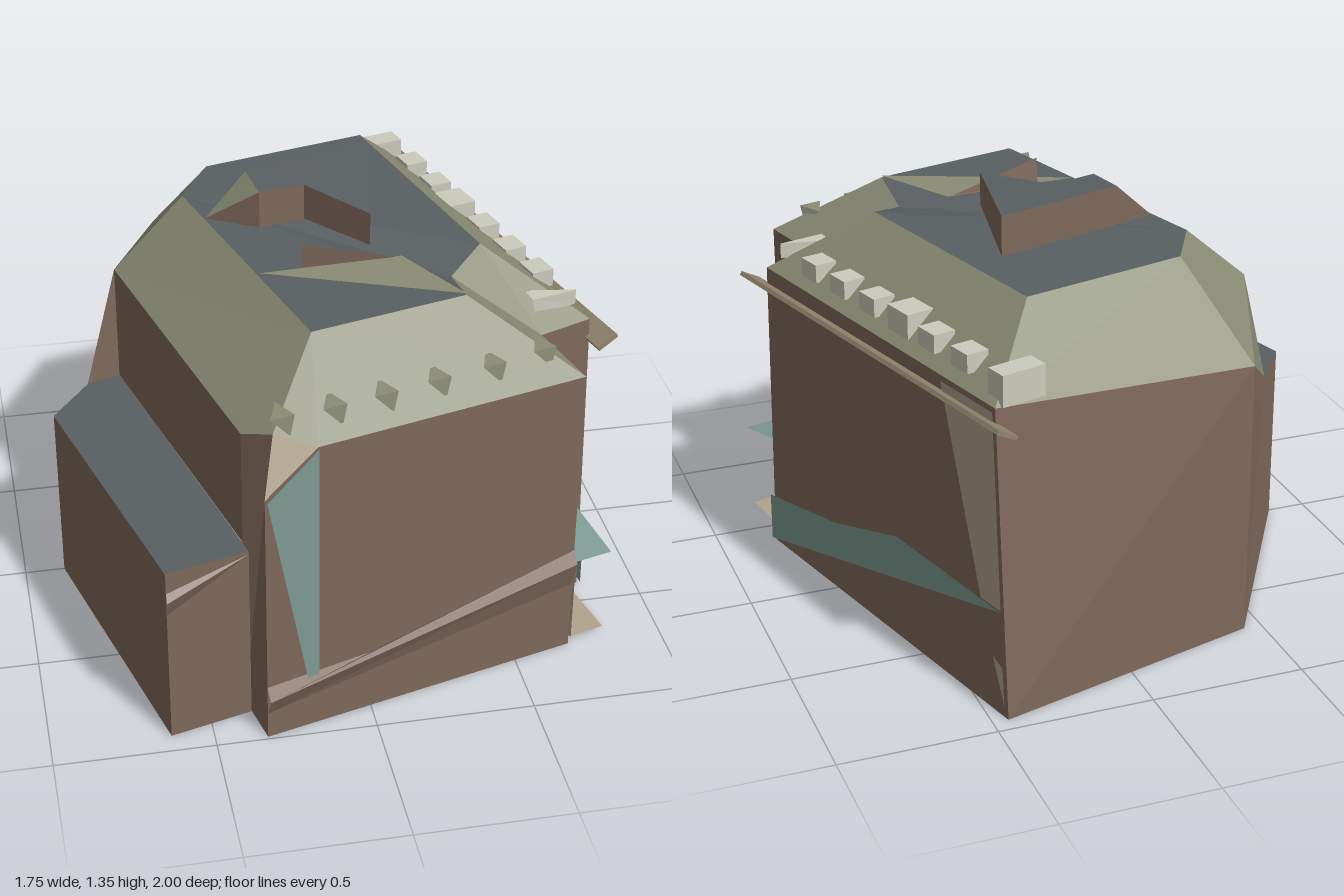
import * as THREE from 'three';

const mat = (name, color) => new THREE.MeshStandardMaterial({ name, color, side: THREE.DoubleSide, flatShading: true });

export function createModel() {
  const root = new THREE.Group();
  const brown = mat('brownWall', 0x80695c), olive = mat('oliveRoof', 0x8a8c75), slate = mat('slateRoof', 0x5a5f62);
  const teal = mat('tealTrim', 0x7f9b93), tan = mat('tanTrim', 0xb1a48c), stone = mat('paleStone', 0xcbccbc);
  const plank = mat('plankWood', 0x93866f);

  // each polygon [x, y, z] is split into a fan from its first corner
  function faces(name, material, polys) {
    const p = [];
    for (const q of polys) {
      for (let i = 1; i < q.length - 1; i++) p.push(...q[0], ...q[i], ...q[i + 1]);
    }
    const g = new THREE.BufferGeometry();
    g.setAttribute('position', new THREE.Float32BufferAttribute(p, 3));
    g.computeVertexNormals();
    const m = new THREE.Mesh(g, material);
    m.name = name;
    root.add(m);
    return m;
  }
  function box(name, material, size, pos, turn = 0.26, tilt = 0) {
    const m = new THREE.Mesh(new THREE.BoxGeometry(...size), material);
    m.name = name;
    m.position.set(...pos);
    m.rotation.set(0, turn, tilt);
    root.add(m);
    return m;
  }
  // points on the front wall (by x) and the right wall (by z), pushed outward
  const front = (x, y, o = 0.006) => [x + 0.26 * o, y, 0.99 - (x + 0.34) * 0.267 + 0.966 * o];
  const right = (z, y, o = 0.008) => [0.81 + (z - 0.4) * 0.267 - 0.006 * y + 0.966 * o, y, z - 0.26 * o];

  // eave corners
  const e0 = [-0.38, 0.995, 0.81], e1 = [-0.3, 1.04, 0.9], e2 = [-0.175, 1.01, 0.945];
  const e3 = [0.69, 1.01, 0.715], e4 = [0.625, 1.01, 0.45], e5 = [0.80, 1.01, 0.38];
  const e6 = [0.46, 1.0, -0.88], e7 = [-0.44, 0.92, -0.71], e8 = [-0.63, 1.01, -0.22];
  // upper roof corners, with the valley above the notch
  const t0 = [-0.39, 1.22, -0.29], t1 = [-0.28, 1.22, -0.49], t2 = [0.27, 1.22, -0.63];
  const t3 = [0.48, 1.22, 0.21], v = [0.36, 1.18, 0.33], t4 = [0.36, 1.22, 0.52], t5 = [-0.14, 1.22, 0.65];
  // annex top corners
  const a0 = [-0.74, 0.61, -0.18], a1 = [-0.87, 0.61, 0], a2 = [-0.63, 0.61, 0.93], a3 = [-0.37, 0.61, 0.86];
  const a4 = [-0.63, 0.61, -0.22];
  const down = (p) => [p[0], 0, p[2]];
  const cut = [-0.34, 0.87, 0.985], frontLeft = [-0.34, 0, 0.99];
  const rightFront = [0.81, 0, 0.4], rightBack = [0.45, 0, -0.95];

  faces('walls', brown, [
    [frontLeft, down(e3), e3, e2, cut],
    [down(e3), down(e4), e4, e3],
    [down(e4), rightFront, e5, e4],
    [rightFront, rightBack, e6, e5],
    [rightBack, down(e7), e7, e6],
    [a0, e7, down(e7), down(a1), a1],
    [a4, [-0.38, 0.61, 0.81], e0, e8],
    [[-0.38, 0, 0.81], frontLeft, cut, e1, e0],
    [a0, a4, e8],
  ]);
  faces('annexWalls', brown, [
    [down(a1), down(a2), a2, a1],
    [down(a2), down(a3), a3, a2],
  ]);
  faces('annexRoof', slate, [[a0, a1, a2, a3, a4]]);
  faces('roofSlopes', olive, [
    [e8, e0, t5, t0],
    [t5, e0, e1, e2, e3, t4],
    [e3, e4, v, t4],
    [e4, e5, t3, v],
    [e5, e6, t2, t3],
    [e6, e7, t1, t2],
    [e7, e8, t0, t1],
    [e7, a0, e8],
  ]);
  faces('roofTop', slate, [[t0, t5, t4, v, t3, t2, t1]]);

  // raised block on the roof, with a sloping back end
  const ring = [[0.23, -0.3, 1.35], [-0.2, -0.17, 1.35], [-0.18, -0.025, 1.345], [-0.03, -0.06, 1.34], [0.14, 0.155, 1.33]];
  const top = ring.map(([x, z, y]) => [x, y, z]);
  const low = ring.map(([x, z]) => [x, 1.22, z]);
  const tip = [-0.34, 1.22, -0.12];
  faces('roofBlockSides', brown, ring.map((_, i) => {
    const j = (i + 1) % ring.length;
    return [low[j], low[i], top[i], top[j]];
  }).filter((_, i) => i !== 1));
  faces('roofBlockTop', slate, [[top[3], top[4], top[0], top[1], top[2]]]);
  faces('roofBlockSlope', olive, [[tip, top[2], top[1]]]);
  faces('roofBlockSlopeSides', brown, [[tip, low[2], top[2]], [tip, top[1], low[1]]]);
  faces('roofFin', brown, [[[-0.1, 1.22, 0.27], [0.2, 1.225, 0.255], [-0.1, 1.31, 0.28]]]);
  faces('roofPatch', olive, [[[-0.23, 1.225, 0.28], [0.36, 1.225, 0.52], [0.22, 1.225, 0.25]]]);

  // trim on the front wall
  faces('cornerChamfer', tan, [[cut, e2, e1]]);
  faces('frontTealPanel', teal, [[front(-0.335, 0.865), front(-0.21, 0.18), front(-0.175, 0.18), front(-0.175, 1.005)]]);
  faces('frontBar', brown, [
    [front(-0.34, 0.09, 0), front(0.69, 0.24, 0), front(0.69, 0.33, 0.025), front(-0.34, 0.15, 0.025)],
    [front(-0.34, 0.15, 0.025), front(0.69, 0.33, 0.025), front(0.69, 0.37, 0), front(0, 0.21, 0), front(-0.34, 0.19, 0)],
  ]);
  faces('annexBar', brown, [
    [[-0.63, 0.46, 0.932], [-0.55, 0.46, 0.91], [-0.37, 0.6, 0.862], [-0.63, 0.52, 0.955]],
    [[-0.63, 0.52, 0.955], [-0.37, 0.6, 0.862], [-0.63, 0.54, 0.932]],
  ]);

  // trim on the right wall
  faces('rightTealStripe', teal, [[right(0.41, 0.005), right(-0.92, 0.355), right(-0.37, 0.36), right(0, 0.245), right(0.41, 0.17)]]);
  faces('rightTanPanel', tan, [
    [right(-0.82, 0.36), right(-0.92, 0.36), right(-0.88, 0.99), right(-0.62, 0.99)],
    [right(-0.94, 0.04), right(-0.93, 0.17), right(-0.88, 0.19)],
  ]);
  box('eavePlank', plank, [0.075, 0.014, 1.48], [0.65, 0.96, -0.265], 0.262, 0.5);

  // small porch in the notch
  faces('porchRoof', teal, [[[0.64, 0.35, 0.46], [0.7, 0.31, 0.7], [0.83, 0.31, 0.665], [0.77, 0.35, 0.43]]]);
  faces('porchPanel', tan, [[[0.70, 0.02, 0.71], [0.635, 0.02, 0.46], [0.635, 0.36, 0.46], [0.69, 0.36, 0.67], [0.70, 0.3, 0.71]]]);
  faces('porchFloor', tan, [[[0.64, 0.015, 0.46], [0.7, 0.015, 0.7], [0.82, 0.015, 0.665], [0.77, 0.015, 0.43]]]);
  faces('porchBack', teal, [[[0.64, 0.02, 0.462], [0.7, 0.02, 0.446], [0.7, 0.34, 0.446], [0.64, 0.34, 0.462]]]);

  // pale blocks along the right eave
  const blocks = [[0.46, -0.66], [0.505, -0.49], [0.53, -0.325, 0.1], [0.59, -0.165], [0.635, 0.005], [0.68, 0.17]];
  for (const [x, z, s = 0.075] of blocks) box('eaveBlock', stone, [s, s * 0.8, s + 0.012], [x, 1.07, z]);
  box('cornerBlock', stone, [0.15, 0.1, 0.075], [0.375, 1.05, -0.83]);
  faces('frontEaveBlock', stone, [
    [[0.6, 1.1, 0.32], [0.61, 1.1, 0.385], [0.76, 1.1, 0.345]],
    [[0.61, 1.1, 0.385], [0.62, 1.04, 0.385], [0.76, 1.05, 0.345], [0.76, 1.1, 0.345]],
    [[0.6, 1.1, 0.32], [0.76, 1.1, 0.345], [0.76, 1.05, 0.345], [0.62, 1.04, 0.33]],
  ]);

  // wedge spikes along the front eave
  for (const [x, z] of [[-0.27, 0.9], [-0.11, 0.87], [0.05, 0.83], [0.22, 0.78], [0.4, 0.73], [0.57, 0.67]]) {
    const l = [x - 0.04, 1.1, z + 0.02], r = [x + 0.035, 1.1, z], b = [x + 0.02, 1.035, z + 0.01], i = [x - 0.01, 1.1, z - 0.08];
    faces('eaveSpike', olive, [[l, b, r], [l, r, i], [l, i, b]]);
    faces('eaveSpikeSide', stone, [[r, b, i]]);
  }
  return root;
}
